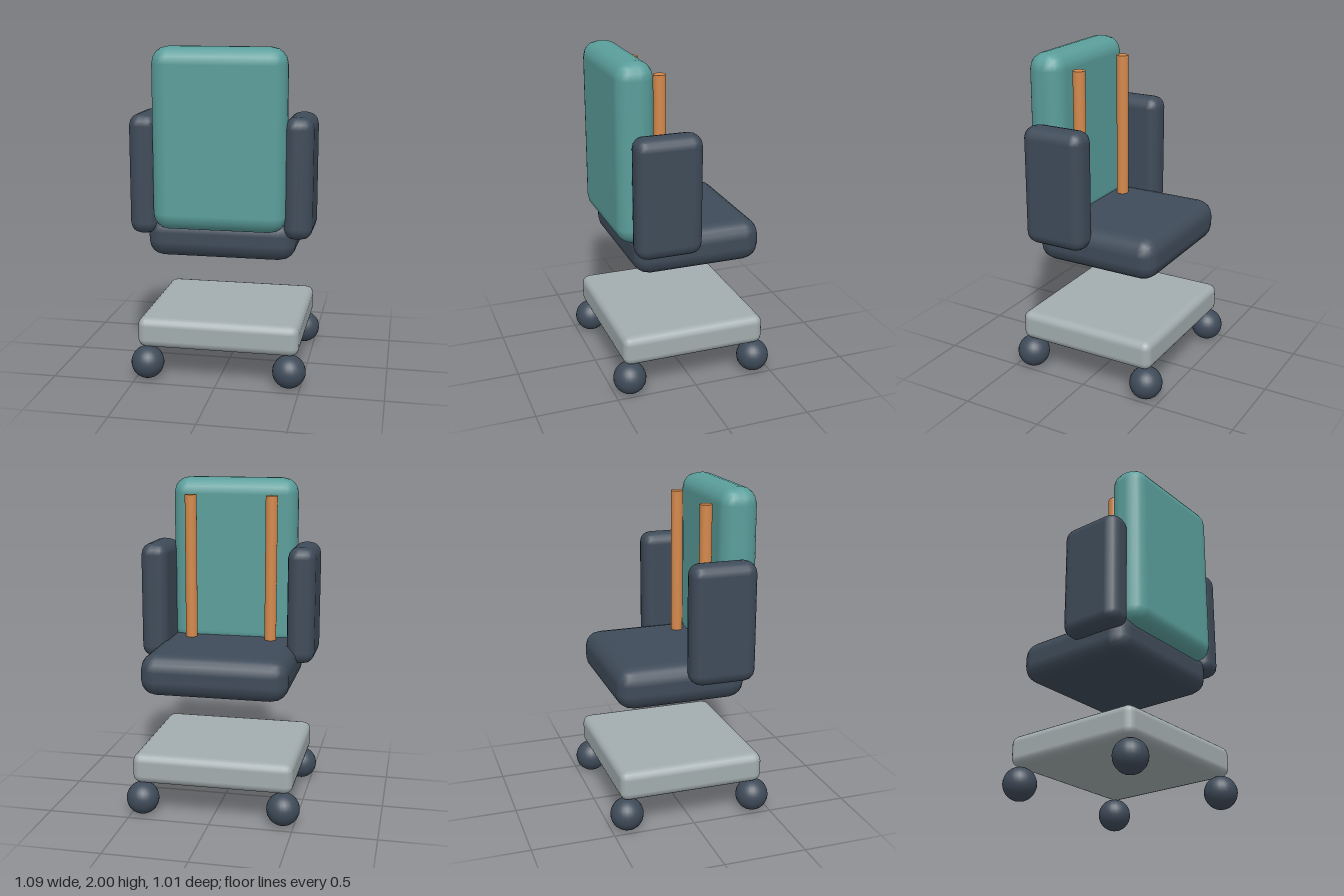
import * as THREE from 'three';
import { RoundedBoxGeometry } from 'three/addons/geometries/RoundedBoxGeometry.js';

function material(name, color) {
  const m = new THREE.MeshStandardMaterial({ color });
  m.name = name;
  return m;
}

export function createModel() {
  const group = new THREE.Group();
  group.name = 'officeChair';
  const teal = material('teal', 0x5a9e9b);
  const slate = material('slate', 0x3f4b59);
  const grey = material('grey', 0xa3adaf);
  const copper = material('copper', 0xd4894c);

  function add(name, geometry, mat, x, y, z) {
    const mesh = new THREE.Mesh(geometry, mat);
    mesh.name = name;
    mesh.position.set(x, y, z);
    group.add(mesh);
  }

  // Rounded cushion given by its extents on each axis
  function cushion(name, mat, [x0, x1], [y0, y1], [z0, z1], radius) {
    const geometry = new RoundedBoxGeometry(x1 - x0, y1 - y0, z1 - z0, 2, radius);
    add(name, geometry, mat, (x0 + x1) / 2, (y0 + y1) / 2, (z0 + z1) / 2);
  }

  cushion('base', grey, [-0.49, 0.49], [0.2, 0.385], [-0.449, 0.449], 0.05);
  cushion('seat', slate, [-0.447, 0.447], [0.743, 1.0], [-0.44, 0.354], 0.1);
  cushion('backrest', teal, [-0.397, 0.397], [0.925, 2.0], [0.202, 0.434], 0.1);

  // Armrests and back rods, mirrored
  const rod = new THREE.CylinderGeometry(0.037, 0.037, 1.0, 24);
  for (const [side, s] of [['left', 1], ['right', -1]]) {
    const xs = [s * 0.376, s * 0.547].sort((a, b) => a - b);
    cushion(side + 'Armrest', slate, xs, [0.885, 1.605], [-0.028, 0.373], 0.07);
    add(side + 'Rod', rod, copper, s * 0.255, 1.4, 0.145);
  }

  // Ball casters under the four corners
  const ball = new THREE.SphereGeometry(0.1, 24, 16);
  for (const x of [-0.433, 0.433]) {
    for (const z of [-0.404, 0.404]) add('caster', ball, slate, x, 0.1, z);
  }
  return group;
}
